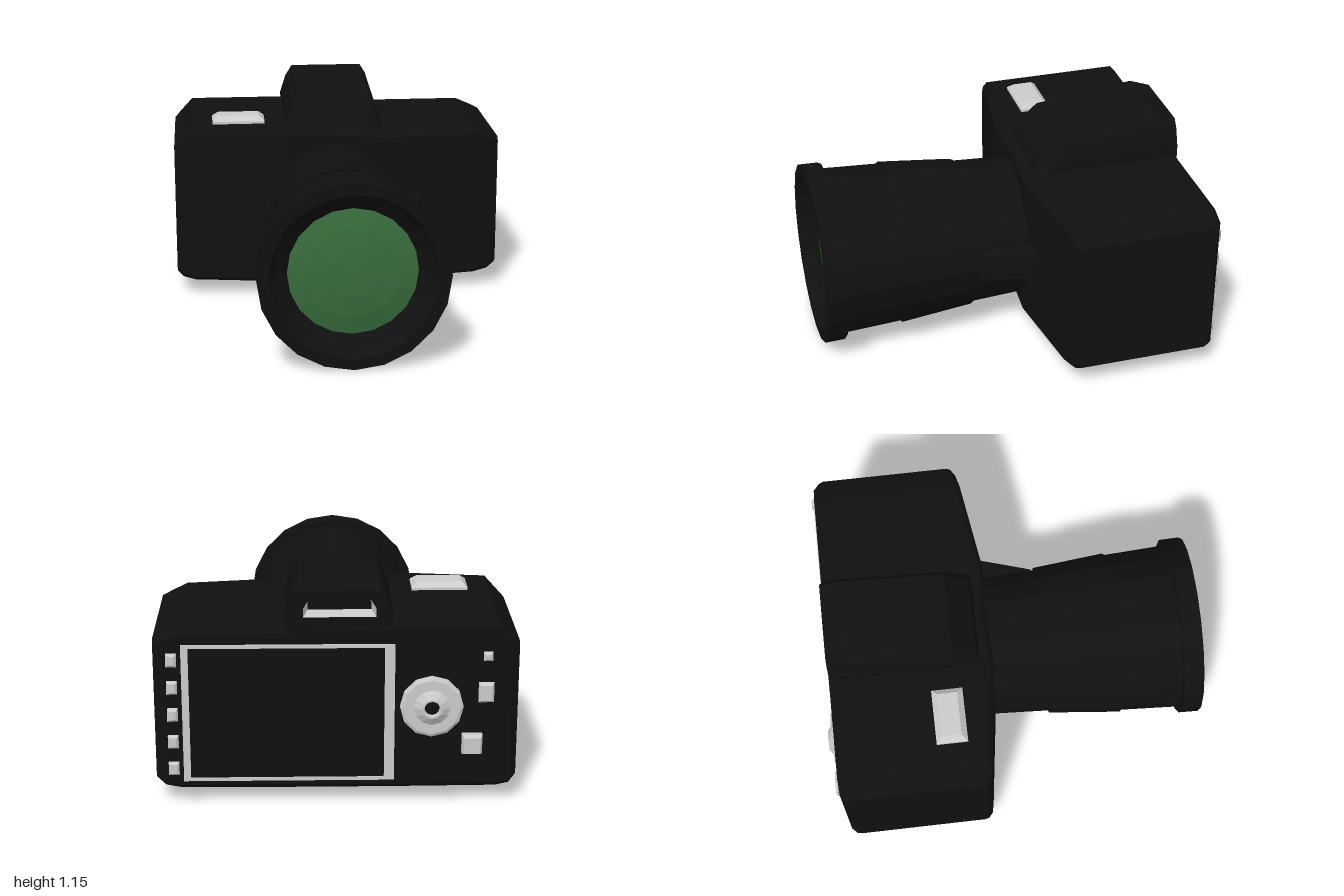
import * as THREE from 'three';

const CX = -0.017; // lens and viewfinder axis
const CY = 0.48;
const BACK = -0.945;

const mat = (color, side = THREE.FrontSide) =>
  new THREE.MeshStandardMaterial({ color, flatShading: true, side });
const black = mat(0x101010);
const silver = mat(0xcccccc);
const glass = mat(0x386c3c);

// Skin between rings of equal length, with optional fan caps at both ends
function loft(rings, capStart = true, capEnd = true) {
  const pos = [];
  const tri = (a, b, c) => pos.push(...a, ...b, ...c);
  const n = rings[0].length;
  for (let i = 0; i < rings.length - 1; i++) {
    for (let j = 0; j < n; j++) {
      const k = (j + 1) % n;
      tri(rings[i][j], rings[i][k], rings[i + 1][k]);
      tri(rings[i][j], rings[i + 1][k], rings[i + 1][j]);
    }
  }
  const last = rings[rings.length - 1];
  for (let j = 1; j < n - 1; j++) {
    if (capStart) tri(rings[0][0], rings[0][j + 1], rings[0][j]);
    if (capEnd) tri(last[0], last[j], last[j + 1]);
  }
  const g = new THREE.BufferGeometry();
  g.setAttribute('position', new THREE.Float32BufferAttribute(pos, 3));
  g.computeVertexNormals();
  return g;
}

// Body section across x: a rectangle in y and z with chamfered corners
function bodyRing([x, yb, yt, zf, zb = BACK]) {
  const c = 0.022;
  return [
    [yb + c, zb], [yt - c, zb], [yt, zb + c], [yt, zf - c],
    [yt - c, zf], [yb + c, zf], [yb, zf - c], [yb, zb + c],
  ].map(([y, z]) => [x, y, z]);
}

// Viewfinder section: straight sides below, tapering to a flat top
function humpRing(z, y0, y1, s = 1) {
  const half = [[0.258, 0], [0.258, 0.47], [0.228, 0.83], [0.197, 1]];
  const right = half.map(([x, t]) => [CX + x * s, y0 + t * (y1 - y0), z]);
  const left = half.map(([x, t]) => [CX - x * s, y0 + t * (y1 - y0), z]).reverse();
  return [...right, ...left];
}

// Button block rising along +z with a bevelled top
function bevelBlock(w, h, d, inset) {
  const rect = (i, z) => {
    const a = w / 2 - i, b = h / 2 - i;
    return [[-a, -b, z], [a, -b, z], [a, b, z], [-a, b, z]];
  };
  return loft([rect(0, 0), rect(0, d * 0.55), rect(inset, d)]);
}

function lathe(points, sides) {
  return new THREE.LatheGeometry(points.map(([r, y]) => new THREE.Vector2(r, y)), sides);
}

export function createModel() {
  const model = new THREE.Group();
  const add = (name, geometry, material, x = 0, y = 0, z = 0) => {
    const mesh = new THREE.Mesh(geometry, material);
    mesh.name = name;
    mesh.position.set(x, y, z);
    model.add(mesh);
    return mesh;
  };

  // Body, tapering back towards its ends
  add('body', loft([
    [-0.89, 0.13, 0.84, -0.195, -0.915],
    [-0.855, 0.10, 0.875, -0.172],
    [-0.79, 0.085, 0.945, -0.16],
    [-0.28, 0.082, 0.945, -0.09],
    [0, 0.082, 0.93, -0.107],
    [0.26, 0.082, 0.915, -0.09],
    [0.76, 0.085, 0.915, -0.162],
    [0.84, 0.10, 0.88, -0.178],
    [0.887, 0.13, 0.86, -0.20, -0.915],
  ].map(bodyRing)), black);

  // Viewfinder hump with a recessed eyepiece in its back
  const opening = humpRing(-0.94, 0.975, 1.07, 0.68);
  const inner = humpRing(-0.85, 0.985, 1.06, 0.6);
  add('viewfinderHump', loft([
    opening,
    humpRing(-0.94, 0.85, 1.11),
    humpRing(-0.83, 0.85, 1.15),
    humpRing(-0.30, 0.85, 1.09),
    humpRing(-0.18, 0.84, 0.985),
    humpRing(-0.155, 0.82, 0.91),
    humpRing(-0.10, 0.78, 0.85),
  ], false, true), black);
  add('eyepieceLining', loft([inner, opening], false, false), silver);
  add('eyepieceGlass', loft([inner, humpRing(-0.84, 0.985, 1.06, 0.6)]), black);

  // Lens barrel: stepped rings, front rim and inner cone
  const barrel = lathe([
    [0.37, -0.2], [0.37, -0.1], [0.385, 0.19], [0.397, 0.19], [0.435, 0.575],
    [0.425, 0.575], [0.442, 0.895], [0.475, 0.895], [0.478, 1], [0.42, 1],
    [0.39, 0.95], [0.325, 0.9],
  ], 20).rotateX(Math.PI / 2);
  add('lensBarrel', barrel, black, CX, CY);
  const dome = lathe([[0.325, 0.9], [0.23, 0.922], [0.12, 0.935], [0, 0.94]], 20)
    .rotateX(Math.PI / 2);
  add('lensGlass', dome, glass, CX, CY);

  // Lens release wedge beside the mount
  const wedge = (z, x) => [[0.3, 0.4, z], [x, 0.42, z], [x, 0.56, z], [0.3, 0.58, z]];
  add('lensRelease', loft([wedge(-0.13, 0.465), wedge(-0.09, 0.455), wedge(0.18, 0.37)]), black);

  // Shutter button
  add('shutterButton', bevelBlock(0.285, 0.16, 0.06, 0.03).rotateX(-Math.PI / 2),
    silver, -0.537, 0.925, -0.35);

  // Rear screen and its frame
  const frame = new THREE.Shape();
  frame.moveTo(-0.285, 0.13).lineTo(0.75, 0.13).lineTo(0.75, 0.84).lineTo(-0.285, 0.84);
  const hole = new THREE.Path();
  hole.moveTo(-0.235, 0.148).lineTo(-0.235, 0.822).lineTo(0.715, 0.822).lineTo(0.715, 0.148);
  frame.holes.push(hole);
  add('screenFrame', new THREE.ExtrudeGeometry(frame, { depth: 0.012, bevelEnabled: false }),
    silver, 0, 0, BACK - 0.008);
  add('screen', new THREE.BoxGeometry(0.96, 0.69, 0.008), black, 0.24, 0.485, BACK);

  // Rear control dial with a dark centre
  const dial = lathe([
    [0.155, 0], [0.155, 0.022], [0.14, 0.03], [0.09, 0.03], [0.05, 0.055],
    [0.04, 0.055], [0.036, 0.03],
  ], 12).rotateX(-Math.PI / 2);
  add('controlDial', dial, silver, -0.465, 0.52, BACK);
  add('dialCentre', new THREE.CylinderGeometry(0.04, 0.04, 0.035, 12).rotateX(Math.PI / 2),
    black, -0.465, 0.52, BACK - 0.015);

  // Rear buttons: x, y, width, height, depth
  const buttons = [
    [-0.735, 0.775, 0.045, 0.045, 0.02],
    [-0.73, 0.59, 0.075, 0.1, 0.025],
    [-0.665, 0.325, 0.1, 0.1, 0.053],
  ];
  for (let i = 0; i < 5; i++) buttons.push([0.797, 0.2 + i * 0.141, 0.052, 0.066, 0.022]);
  for (const [x, y, w, h, d] of buttons) {
    add('rearButton', bevelBlock(w, h, d, 0.01).rotateY(Math.PI), silver, x, y, BACK);
  }

  return model;
}
